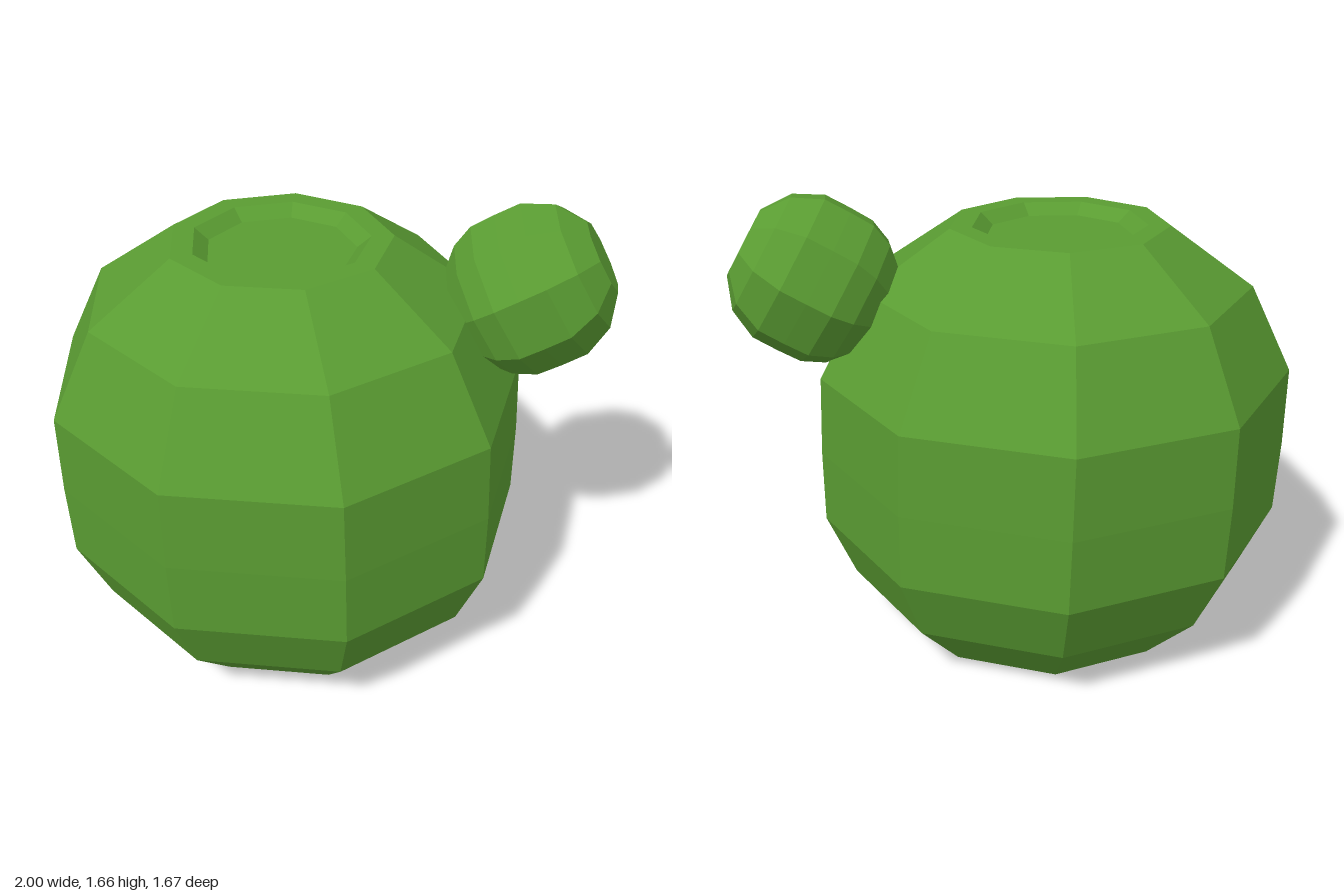
import * as THREE from 'three';

const SIDES = 9;

// Faceted barrel profile, [radius, height], from the base to the shoulder
const BARREL = [
  [0, 0], [0.545, 0], [0.747, 0.21], [0.855, 0.45], [0.862, 0.72],
  [0.857, 1.01], [0.697, 1.32], [0.394, 1.53],
];

// Nine-sided turned form with one corner pointing to the back
function facetedBarrel(name, profile, material) {
  const points = profile.map(([r, y]) => new THREE.Vector2(r, y));
  const geometry = new THREE.LatheGeometry(points, SIDES, Math.PI);
  const mesh = new THREE.Mesh(geometry, material);
  mesh.name = name;
  return mesh;
}

export function createModel() {
  const model = new THREE.Group();
  model.name = 'cactus';
  const green = new THREE.MeshStandardMaterial({ color: 0x5a9c32, flatShading: true });

  // Main body, with a shallow dish sunk into its top
  const dish = [[0.315, 1.53], [0.265, 1.49], [0, 1.49]];
  const body = facetedBarrel('body', [...BARREL, ...dish], green);
  // Lean the body very slightly sideways
  const position = body.geometry.attributes.position;
  for (let i = 0; i < position.count; i++) {
    position.setX(i, position.getX(i) - 0.025 * position.getY(i));
  }
  body.geometry.computeVertexNormals();
  body.position.set(-0.127, 0, 0.024);
  model.add(body);

  // Small side bud: the same form scaled down, flat on top, tilted outward
  const bud = facetedBarrel('bud', [...BARREL, [0, 1.53]], green);
  bud.scale.setScalar(0.335);
  bud.rotation.z = -Math.PI / 3;
  bud.position.set(0.49, 1.235, -0.04);
  model.add(bud);

  return model;
}
